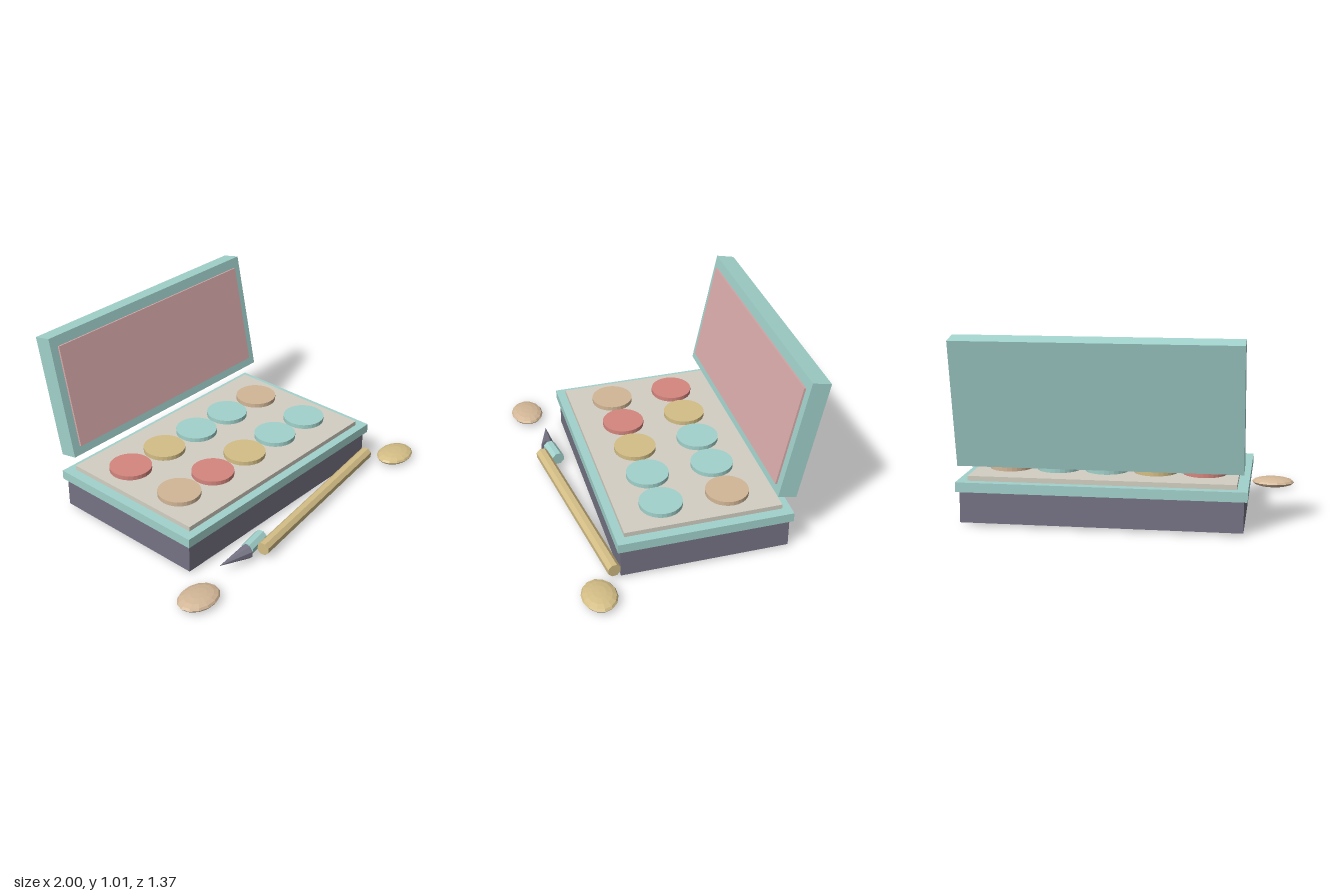
import * as THREE from 'three';

const mat = (name, color) => {
  const m = new THREE.MeshStandardMaterial({ color, flatShading: true });
  m.name = name;
  return m;
};

export function createModel() {
  const teal = mat('teal', 0xa2d2cc);
  const pink = mat('pink', 0xdcacac);
  const slate = mat('slate', 0x757384);
  const cream = mat('cream', 0xd3cfc3);
  const coral = mat('coral', 0xd5867e);
  const gold = mat('gold', 0xd4be86);
  const tan = mat('tan', 0xd3b797);

  const root = new THREE.Group();
  root.name = 'makeupPalette';

  const add = (parent, name, geometry, material, x = 0, y = 0, z = 0) => {
    const mesh = new THREE.Mesh(geometry, material);
    mesh.name = name;
    mesh.position.set(x, y, z);
    parent.add(mesh);
    return mesh;
  };
  const box = (parent, name, material, w, h, d, x, y, z) =>
    add(parent, name, new THREE.BoxGeometry(w, h, d), material, x, y, z);

  // Case, rim and tray
  box(root, 'case', slate, 1.484, 0.167, 0.92, 0, 0.0995, -0.06);
  box(root, 'rim', teal, 1.522, 0.052, 0.955, 0, 0.209, -0.06);
  box(root, 'tray', cream, 1.41, 0.028, 0.86, 0, 0.247, -0.06);

  // Two rows of round colour pans
  const rows = [
    { z: -0.243, colors: [coral, gold, teal, teal, tan] },
    { z: 0.124, colors: [tan, coral, gold, teal, teal] },
  ];
  const panGeo = new THREE.CylinderGeometry(0.117, 0.117, 0.025, 28);
  rows.forEach(({ z, colors }, r) => colors.forEach((c, i) =>
    add(root, `pan${r * 5 + i + 1}`, panGeo, c, (i - 2) * 0.262, 0.273, z)));

  // Lid leaning back, with its inner panel
  const lid = new THREE.Group();
  lid.name = 'lid';
  lid.position.set(0, 0.672, -0.568);
  lid.rotation.x = -0.209;
  root.add(lid);
  box(lid, 'lidShell', teal, 1.484, 0.683, 0.105, 0, 0, 0);
  box(lid, 'lidPanel', pink, 1.388, 0.577, 0.02, 0, -0.004, 0.0535);

  // Brush, each piece an octagonal prism or cone between two points
  const brush = new THREE.Group();
  brush.name = 'brush';
  root.add(brush);
  const rod = (name, material, a, b, rA, rB) => {
    const from = new THREE.Vector3(...a), to = new THREE.Vector3(...b);
    const length = from.distanceTo(to);
    const geo = new THREE.CylinderGeometry(rB, rA, length, 8).rotateY(Math.PI / 8);
    // Lay along +x, then turn about the vertical
    geo.rotateZ(-Math.PI / 2);
    const mesh = add(brush, name, geo, material);
    mesh.position.copy(from).add(to).multiplyScalar(0.5);
    mesh.rotation.y = Math.atan2(-(to.z - from.z), to.x - from.x);
  };
  rod('brushHandle', gold, [-0.385, 0.054, 0.588], [0.738, 0.054, 0.433], 0.037, 0.037);
  rod('brushFerrule', teal, [-0.445, 0.057, 0.532], [-0.305, 0.057, 0.508], 0.037, 0.037);
  rod('brushTip', slate, [-0.45, 0.054, 0.541], [-0.643, 0.054, 0.516], 0.041, 0);

  // Flattened puffs on each side
  const puffGeo = new THREE.SphereGeometry(1, 14, 8).scale(0.124, 0.029, 0.094);
  add(root, 'rightPuff', puffGeo, tan, -0.875, 0.031, 0.588);
  add(root, 'leftPuff', puffGeo, gold, 0.875, 0.031, 0.546);

  return root;
}
